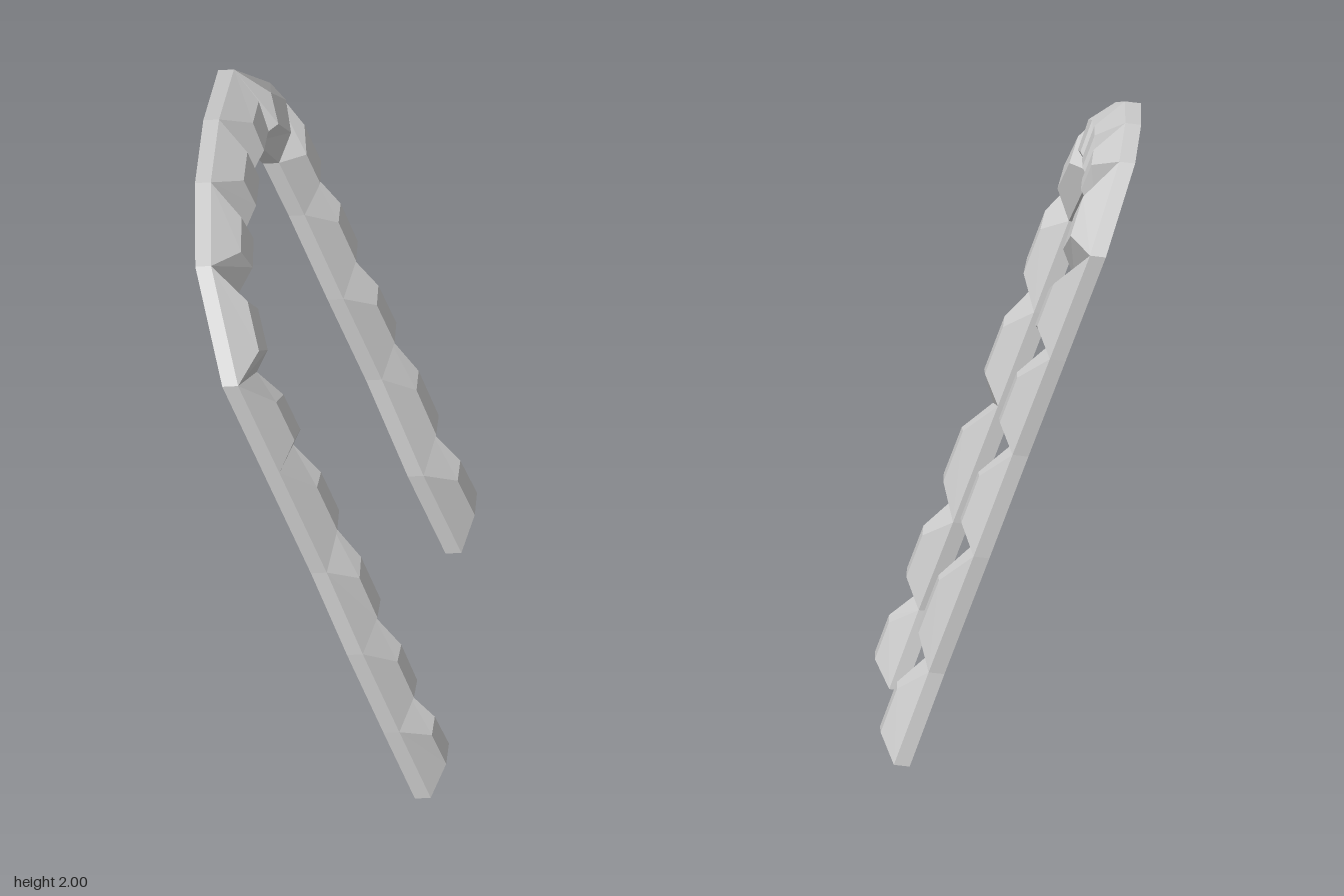
import * as THREE from 'three';

// Joints between stones, going from one foot over the arch to the other:
// [outer z, outer y, inner z, inner y]
const JOINTS = [
  [0.78, 0.015, 0.51, 0.015],
  [0.785, 0.28, 0.55, 0.265],
  [0.785, 0.59, 0.53, 0.555],
  [0.765, 0.90, 0.53, 0.935],
  [0.77, 1.30, 0.535, 1.24],
  [0.775, 1.65, 0.55, 1.535],
  [0.515, 1.93, 0.395, 1.725],
  [0.17, 2.0, 0.145, 1.75],
  [-0.165, 1.995, -0.16, 1.75],
  [-0.505, 1.935, -0.39, 1.735],
  [-0.77, 1.68, -0.515, 1.555],
  [-0.76, 1.34, -0.525, 1.34],
  [-0.745, 1.025, -0.52, 1.01],
  [-0.755, 0.695, -0.525, 0.685],
  [-0.745, 0.315, -0.495, 0.325],
  [-0.78, 0.02, -0.51, 0.007],
];

const SLOPE = 0.379;      // backward lean of the arch plane
const FOOT_X = 0.333;     // back of the foot at ground level
const DEPTH = 0.053;      // thickness of the flat rim
const BACK_DROP = 0.006;  // the open back edge sits a little lower
const RISE = new THREE.Vector3(0.071, 0.012, 0); // offset of the raised face
const INSET_LENGTH = 0.27;
const INSET_WIDTH = 0.29;

// Point on the leaning plane
const onPlane = (z, y, depth) => new THREE.Vector3(FOOT_X - SLOPE * y + depth, y, z);

// Four corners of a stone, anticlockwise from the front
const ring = (a, b, depth, drop) => [
  [a[0], a[1]], [a[2], a[3]], [b[2], b[3]], [b[0], b[1]],
].map(([z, y]) => onPlane(z, y - drop, depth));

// Smaller, raised copy of a ring
function raisedFace(r) {
  const at = (u, v) => {
    const start = r[0].clone().lerp(r[1], v);
    return start.lerp(r[3].clone().lerp(r[2], v), u).add(RISE);
  };
  const u = INSET_LENGTH, v = INSET_WIDTH;
  return [at(u, v), at(u, 1 - v), at(1 - u, 1 - v), at(1 - u, v)];
}

// Hollow shell, open at the back
function stoneGeometry(a, b, startCap, endCap) {
  const back = ring(a, b, 0, BACK_DROP);
  const rim = ring(a, b, DEPTH, 0);
  const face = raisedFace(rim);
  const pos = [];
  const quad = (p, q, r, s) => [p, q, r, p, r, s].forEach((c) => pos.push(c.x, c.y, c.z));

  quad(...face);
  for (let k = 0; k < 4; k++) {
    const n = (k + 1) % 4;
    // Rim walls; joints between neighbours stay open
    if (k % 2 === 1 || (k === 0 && startCap) || (k === 2 && endCap)) {
      quad(back[k], back[n], rim[n], rim[k]);
    }
    // Bevel up to the raised face
    quad(rim[k], rim[n], face[n], face[k]);
  }
  const geo = new THREE.BufferGeometry();
  geo.setAttribute('position', new THREE.Float32BufferAttribute(pos, 3));
  geo.computeVertexNormals();
  return geo;
}

export function createModel() {
  const model = new THREE.Group();
  model.name = 'stoneArch';
  const material = new THREE.MeshStandardMaterial({
    color: 0xcccccc, flatShading: true, side: THREE.DoubleSide,
  });

  const last = JOINTS.length - 2;
  for (let i = 0; i <= last; i++) {
    const stone = new THREE.Mesh(
      stoneGeometry(JOINTS[i], JOINTS[i + 1], i === 0, i === last), material);
    stone.name = i < 5 ? `frontLegStone${i + 1}`
      : i < 10 ? `archStone${i - 4}` : `backLegStone${i - 9}`;
    model.add(stone);
  }
  return model;
}
